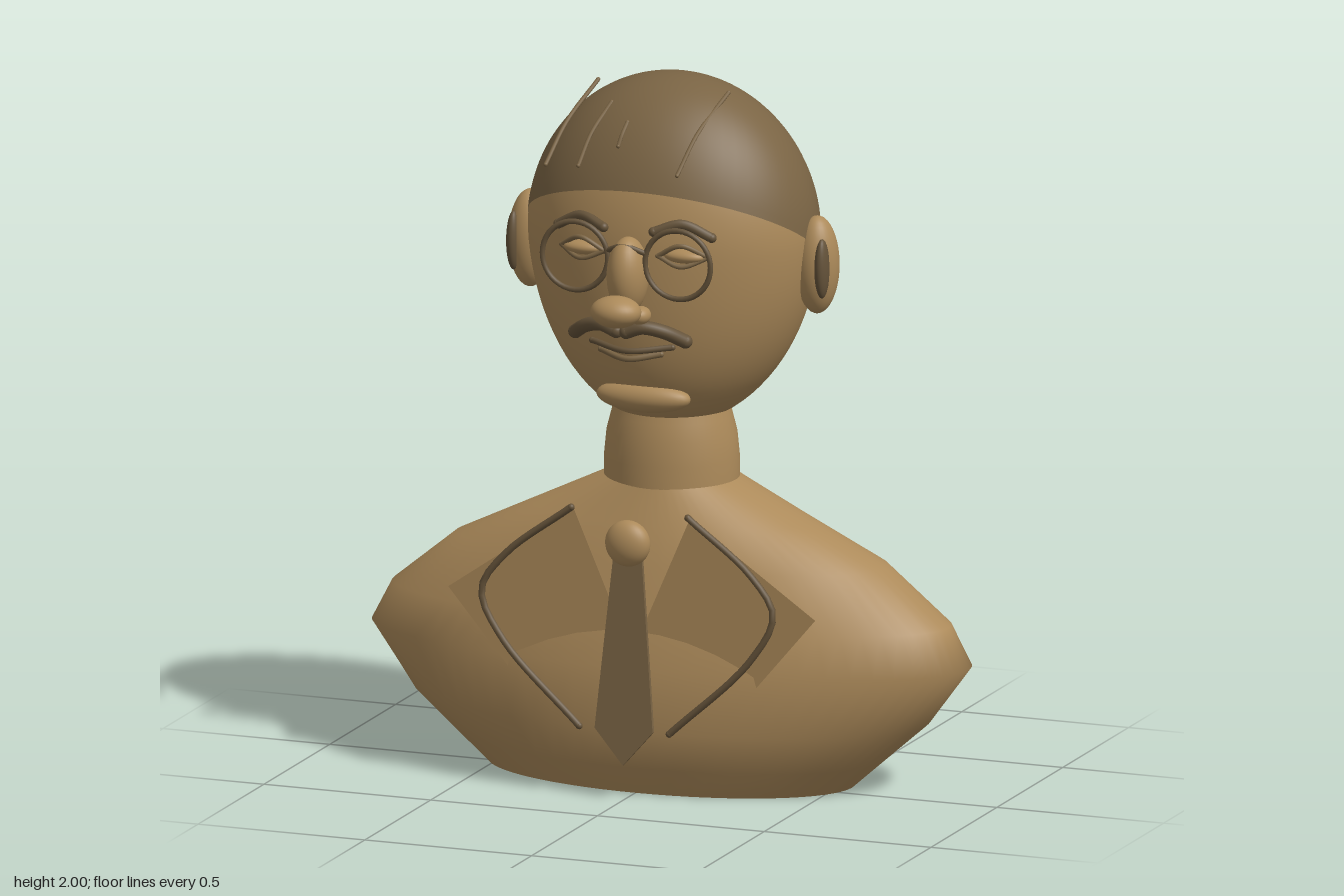
import * as THREE from 'three';
import { mergeVertices } from 'three/addons/utils/BufferGeometryUtils.js';

const flat = (name, color) => {
  const m = new THREE.MeshStandardMaterial({ color, side: THREE.DoubleSide });
  m.name = name;
  return m;
};

// Weld seams and recompute smooth normals
function smooth(geo) {
  geo.deleteAttribute('uv');
  geo.deleteAttribute('normal');
  const g = mergeVertices(geo, 1e-5);
  g.computeVertexNormals();
  return g;
}

// Stack of ellipses, listed from top to bottom as [y, radiusX, radiusZ]
function loft(rings, zc) {
  const n = 64;
  const g = new THREE.CylinderGeometry(1, 1, 1, n, rings.length - 1, true);
  const p = g.attributes.position;
  for (let i = 0; i < p.count; i++) {
    const [y, rx, rz] = rings[Math.floor(i / (n + 1))];
    p.setXYZ(i, p.getX(i) * rx, y, p.getZ(i) * rz + zc);
  }
  return smooth(g);
}

// Bend a unit sphere into the skull shape, longer and fuller towards the jaw
function skull(g, grow = 1) {
  const p = g.attributes.position;
  for (let i = 0; i < p.count; i++) {
    const X = p.getX(i), Y = p.getY(i), Z = p.getZ(i), s = Math.max(-Y, 0);
    p.setXYZ(i,
      0.42 * grow * X * (1 - 0.05 * s),
      1.55 + Y * (Y > 0 ? 0.45 * grow : 0.55),
      -0.083 + 0.325 * grow * Z * (1 + 0.3 * s * s));
  }
  return smooth(g);
}

export function createModel() {
  const model = new THREE.Group();
  model.name = 'bust';
  const bronze = flat('bronze', 0xac8a5a);
  const dark = flat('dark bronze', 0x7a6444);
  const deep = flat('deep bronze', 0x65533a);

  const add = (name, geo, mat) => {
    const m = new THREE.Mesh(geo, mat);
    m.name = name;
    model.add(m);
    return m;
  };
  const ball = (name, mat, pos, size) => {
    const m = add(name, new THREE.SphereGeometry(1, 32, 20), mat);
    m.position.set(...pos);
    m.scale.set(...size);
    return m;
  };
  // Round rod through points, with closed ends
  const rod = (name, mat, pts, r, sides = 8) => {
    const v = pts.map((p) => new THREE.Vector3(...p));
    add(name, new THREE.TubeGeometry(new THREE.CatmullRomCurve3(v), 24, r, sides), mat);
    for (const end of [v[0], v[v.length - 1]]) ball(name + 'End', mat, end.toArray(), [r, r, r]);
  };
  const mirror = (s, pts) => pts.map(([x, ...rest]) => [x * s, ...rest]);

  // Torso (open underneath) and neck
  add('torso', loft([
    [0.855, 0.19, 0.17], [0.75, 0.41, 0.215], [0.64, 0.64, 0.26], [0.485, 0.83, 0.302],
    [0.37, 0.89, 0.336], [0.195, 0.76, 0.355], [0.08, 0.63, 0.315], [0, 0.54, 0.278],
  ], -0.066), bronze);
  add('neck', loft([
    [1.08, 0.16, 0.145], [1.03, 0.172, 0.157], [0.98, 0.185, 0.168],
    [0.91, 0.192, 0.173], [0.84, 0.192, 0.173],
  ], -0.066), bronze);

  // Head and hair cap, cut along a line sloping down to the back
  add('head', skull(new THREE.SphereGeometry(1, 64, 40, 0, Math.PI * 2, 0, 2.757)), bronze);
  const cap = new THREE.SphereGeometry(1, 64, 32, 0, Math.PI * 2, 0, Math.PI / 2 + 0.02);
  cap.rotateX(-0.42);
  add('hair', skull(cap, 1.005), dark);

  // Loose strands of hair
  [
    [[-0.27, 1.78, 0.21], [-0.25, 1.88, 0.1], [-0.215, 1.97, -0.05]],
    [[-0.18, 1.78, 0.19], [-0.165, 1.86, 0.13], [-0.135, 1.935, 0.05]],
    [[-0.07, 1.84, 0.165], [-0.065, 1.87, 0.148], [-0.06, 1.9, 0.12]],
    [[0.12, 1.78, 0.2], [0.145, 1.88, 0.11], [0.18, 1.97, -0.04]],
  ].forEach((pts) => rod('hairStrand', dark, pts, 0.006));

  // Nose, chin and mouth
  ball('noseBridge', bronze, [0, 1.5, 0.27], [0.057, 0.11, 0.072]);
  ball('noseTip', bronze, [0, 1.415, 0.36], [0.073, 0.045, 0.06]);
  ball('chin', bronze, [0, 1.125, 0.15], [0.14, 0.045, 0.052]);
  rod('upperLip', deep, [[-0.12, 1.295, 0.235], [0, 1.285, 0.28], [0.12, 1.295, 0.235]], 0.009);
  rod('lowerLip', dark, [[-0.09, 1.275, 0.245], [0, 1.262, 0.28], [0.09, 1.275, 0.245]], 0.009);
  rod('glassesBridge', deep, [[-0.055, 1.57, 0.28], [0, 1.59, 0.3], [0.055, 1.57, 0.28]], 0.008);

  for (const s of [1, -1]) {
    // Ears
    ball('ear', bronze, [s * 0.43, 1.49, -0.08], [0.062, 0.14, 0.066]);
    ball('earHollow', deep, [s * 0.462, 1.49, -0.035], [0.02, 0.085, 0.03]);

    // Eyes, brows and spectacle rims
    ball('eye', bronze, [s * 0.15, 1.557, 0.222], [0.06, 0.02, 0.03]);
    for (const [name, h] of [['upperLid', 0.035], ['lowerLid', -0.025]]) {
      rod(name, dark, mirror(s, [
        [0.08, 1.557, 0.245], [0.15, 1.557 + h, 0.25], [0.22, 1.557, 0.215],
      ]), 0.007);
    }
    rod('eyebrow', deep, mirror(s, [
      [0.075, 1.63, 0.265], [0.15, 1.652, 0.24], [0.23, 1.615, 0.215],
    ]), 0.014);
    const rim = add('glassesRim', new THREE.TorusGeometry(0.098, 0.008, 8, 40), deep);
    rim.position.set(s * 0.154, 1.545, 0.28);

    // Nostril and moustache half
    ball('nostril', bronze, [s * 0.055, 1.4, 0.315], [0.03, 0.026, 0.035]);
    rod('moustache', deep, mirror(s, [
      [0.015, 1.35, 0.32], [0.06, 1.365, 0.315], [0.115, 1.352, 0.29], [0.165, 1.32, 0.25],
    ]), 0.02, 12);

    // Lapel plate and its piping
    const outline = [[0.175, 0.81], [0.55, 0.55], [0.255, 0.2], [0.07, 0.2], [0.045, 0.51]];
    const shape = new THREE.Shape(mirror(s, outline).map((p) => new THREE.Vector2(...p)));
    add('lapel', new THREE.ShapeGeometry(shape), bronze).position.z = 0.24;
    rod('lapelPiping', deep, mirror(s, [
      [0.175, 0.815, 0.257], [0.37, 0.665, 0.267], [0.437, 0.56, 0.274],
      [0.37, 0.425, 0.283], [0.135, 0.2, 0.297],
    ]), 0.01);
  }

  // Tie, leaning out slightly towards its tip
  const tie = new THREE.Shape(
    [[-0.04, 0.72], [-0.087, 0.2], [0, 0.1], [0.087, 0.2], [0.04, 0.72]]
      .map((p) => new THREE.Vector2(...p)));
  const tieGeo = new THREE.ExtrudeGeometry(tie, { depth: 0.012, bevelEnabled: false });
  const tp = tieGeo.attributes.position;
  for (let i = 0; i < tp.count; i++) tp.setZ(i, tp.getZ(i) + 0.302 - 0.06 * tp.getY(i));
  tieGeo.computeVertexNormals();
  add('tie', tieGeo, dark);
  ball('tieKnot', bronze, [0, 0.73, 0.27], [0.066, 0.066, 0.042]);

  return model;
}
